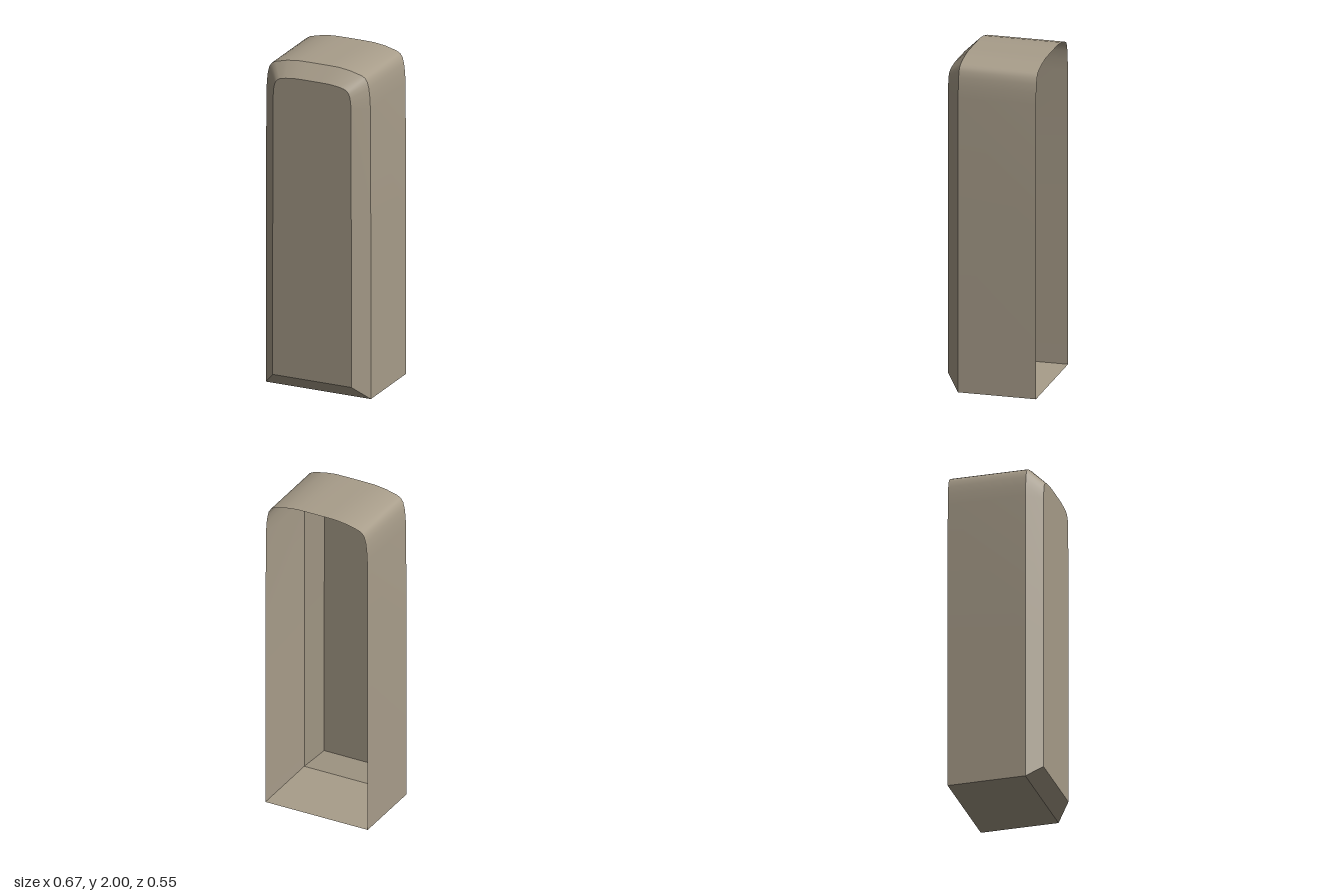
import * as THREE from 'three';
import { toCreasedNormals } from 'three/addons/utils/BufferGeometryUtils.js';

// Right half of each outline, from the bottom corner up to the crown
const OUTER = [[0.335, 0], [0.335, 0.93], [0.332, 1.78], [0.328, 1.85], [0.322, 1.9], [0.313, 1.935],
  [0.298, 1.958], [0.275, 1.971], [0.2, 1.99], [0.13, 1.999], [0.06, 2]];
const INNER = [[0.251, 0.085], [0.251, 0.93], [0.248, 1.78], [0.247, 1.82], [0.243, 1.85], [0.236, 1.875],
  [0.224, 1.892], [0.207, 1.903], [0.17, 1.912], [0.11, 1.919], [0.05, 1.92]];

// Mirror a half outline into a closed counter-clockwise loop
function loop(half, z) {
  const left = half.slice().reverse().map(([x, y]) => [-x, y]);
  return [...half, ...left].map(([x, y]) => new THREE.Vector3(x, y, z));
}

// Skin between two loops, facing outward
function band(a, b) {
  const points = [];
  a.forEach((p, i) => {
    const j = (i + 1) % a.length;
    points.push(p, a[j], b[j], p, b[j], b[i]);
  });
  return toCreasedNormals(new THREE.BufferGeometry().setFromPoints(points), THREE.MathUtils.degToRad(35));
}

export function createModel() {
  const group = new THREE.Group();
  group.name = 'openBackedShell';
  const stone = new THREE.MeshStandardMaterial({ color: 0xa89d8a, side: THREE.DoubleSide });
  stone.name = 'warm stone';

  const add = (name, geometry) => {
    const mesh = new THREE.Mesh(geometry, stone);
    mesh.name = name;
    group.add(mesh);
    return mesh;
  };

  const back = loop(OUTER, -0.275);
  const shoulder = loop(OUTER, 0.191);
  const front = loop(INNER, 0.275);

  // Side walls, floor and crown; the back stays open
  add('outerWall', band(back, shoulder));
  // Sloping border around the front
  add('frontBevel', band(shoulder, front));
  // Flat front face
  const outline = new THREE.Shape(front.map((p) => new THREE.Vector2(p.x, p.y)));
  add('frontPanel', new THREE.ShapeGeometry(outline)).position.z = 0.275;

  return group;
}
